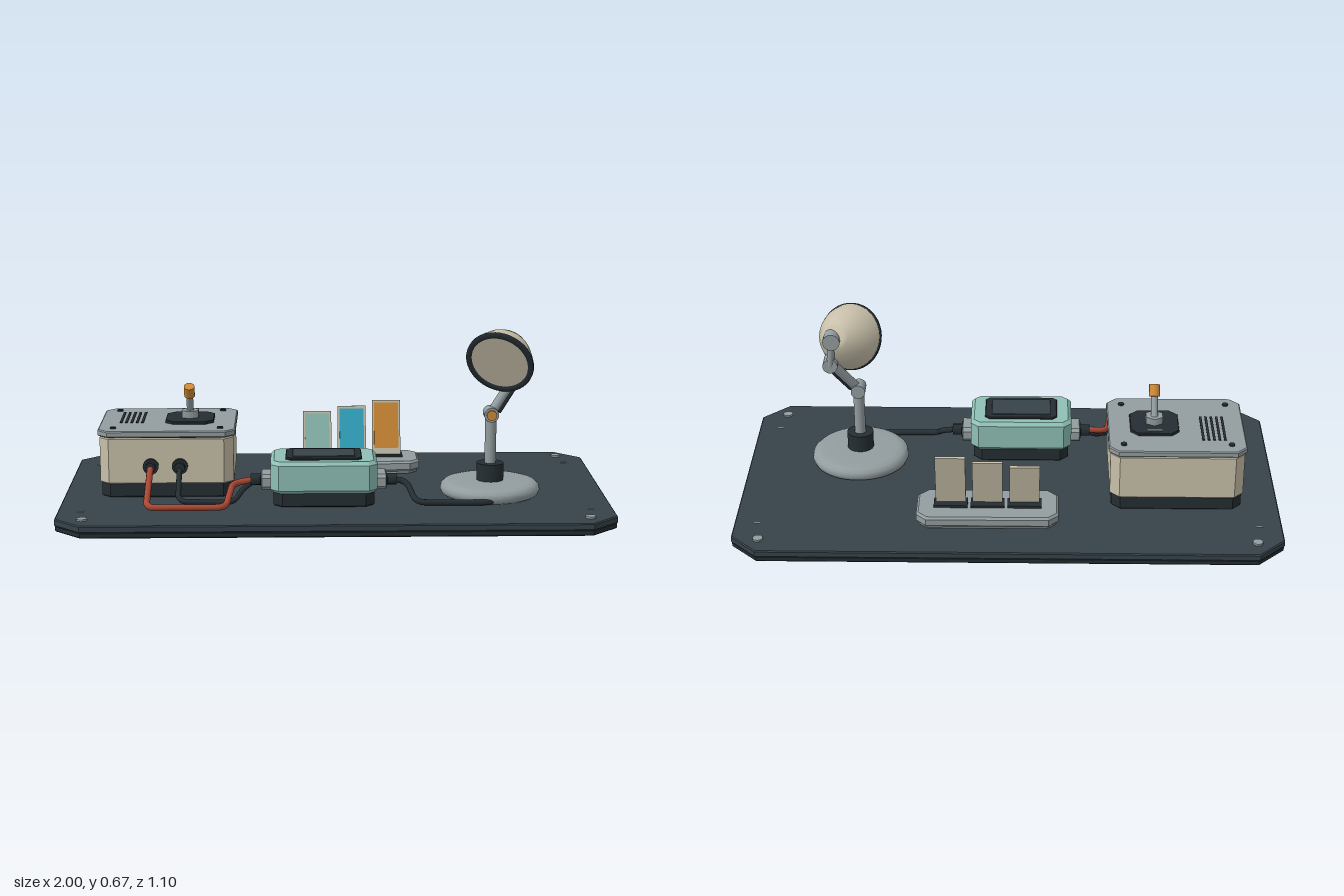
import * as THREE from 'three';

const mat = (name, color) => Object.assign(new THREE.MeshStandardMaterial({ color }), { name });
const M = {
  board: mat('slate', 0x36434a), dark: mat('charcoal', 0x252e33), grey: mat('metal grey', 0x939d9f),
  beige: mat('beige', 0xc8c0aa), teal: mat('pale teal', 0x8fc0b6), cyan: mat('cyan', 0x33abc8),
  orange: mat('orange', 0xcf8a36), red: mat('cable red', 0xaa4733),
};
const V = (x, y, z) => new THREE.Vector3(x, y, z);
const UP = V(0, 1, 0);

function add(parent, name, geo, material, x = 0, y = 0, z = 0) {
  const m = new THREE.Mesh(geo, material);
  m.name = name;
  m.position.set(x, y, z);
  parent.add(m);
  return m;
}

function group(parent, name, x = 0, y = 0, z = 0) {
  const g = new THREE.Group();
  g.name = name;
  g.position.set(x, y, z);
  parent.add(g);
  return g;
}

// Slab with clipped corners and bevelled edges, standing on y = 0
function slab(w, h, d, c, b = 0.004) {
  const x = w / 2 - b, z = d / 2 - b;
  const pts = [[x - c, -z], [x, c - z], [x, z - c], [x - c, z], [c - x, z], [-x, z - c], [-x, c - z], [c - x, -z]];
  const shape = new THREE.Shape(pts.map(p => new THREE.Vector2(...p)));
  return new THREE.ExtrudeGeometry(shape, {
    depth: h - 2 * b, bevelEnabled: b > 0, bevelSize: b, bevelThickness: b, bevelSegments: 1,
  }).translate(0, 0, b).rotateX(-Math.PI / 2);
}

const cyl = (r, h, n = 24) => new THREE.CylinderGeometry(r, r, h, n);

// Cylinder between two points
function rod(parent, name, a, b, r, material, n = 20) {
  const m = add(parent, name, cyl(r, a.distanceTo(b), n), material);
  m.position.copy(a).add(b).multiplyScalar(0.5);
  m.quaternion.setFromUnitVectors(UP, b.clone().sub(a).normalize());
  return m;
}

// Tube along straight runs with rounded corners
function cable(parent, name, pts, r, material) {
  const path = new THREE.CurvePath();
  let from = pts[0];
  for (let i = 1; i < pts.length - 1; i++) {
    const p = pts[i];
    const cut = q => p.clone().lerp(q, Math.min(0.45, 0.035 / p.distanceTo(q)));
    const a = cut(pts[i - 1]), b = cut(pts[i + 1]);
    path.add(new THREE.LineCurve3(from, a));
    path.add(new THREE.QuadraticBezierCurve3(a, p, b));
    from = b;
  }
  path.add(new THREE.LineCurve3(from, pts[pts.length - 1]));
  add(parent, name, new THREE.TubeGeometry(path, 90, r, 10), material);
}

function buildBoard(root) {
  const g = group(root, 'baseBoard');
  add(g, 'lowerPlate', slab(1.994, 0.022, 1.094, 0.095), M.dark);
  add(g, 'upperPlate', slab(2, 0.026, 1.1, 0.095), M.board, 0, 0.02);
  for (const x of [-1, 1]) for (const z of [-1, 1]) {
    add(g, 'cornerBolt', cyl(0.019, 0.008, 12), M.grey, x * 0.9, 0.049, z * 0.47);
    add(g, 'edgeMark', new THREE.BoxGeometry(0.022, 0.003, 0.006), M.grey, x * 0.917, 0.047, z * 0.36);
  }
}

function buildPowerBox(root) {
  const g = group(root, 'powerBox', -0.62, 0.046, -0.045);
  add(g, 'foot', slab(0.48, 0.056, 0.39, 0.03), M.dark);
  add(g, 'body', slab(0.492, 0.172, 0.402, 0.032), M.beige, 0, 0.052);
  add(g, 'lidSeam', slab(0.48, 0.01, 0.39, 0.03, 0.001), M.dark, 0, 0.221);
  add(g, 'lid', slab(0.506, 0.024, 0.416, 0.034), M.grey, 0, 0.227);
  for (const x of [-0.197, 0.197]) for (const z of [-0.155, 0.155])
    add(g, 'lidScrew', cyl(0.011, 0.008, 12), M.dark, x, 0.253, z);
  for (let i = 0; i < 5; i++)
    add(g, 'ventSlot', new THREE.BoxGeometry(0.009, 0.004, 0.18), M.dark, -0.176 + i * 0.02, 0.252, -0.03);
  for (const x of [-0.057, 0.05]) {
    add(g, 'socketRing', cyl(0.029, 0.018, 20).rotateX(Math.PI / 2), M.dark, x, 0.119, 0.205);
    add(g, 'socketPlug', cyl(0.019, 0.03, 16).rotateX(Math.PI / 2), M.dark, x, 0.119, 0.222);
  }

  // Toggle switch
  const s = group(g, 'toggleSwitch', 0.08, 0.25, 0);
  add(s, 'switchPlate', slab(0.18, 0.012, 0.18, 0.028, 0.002), M.dark);
  add(s, 'switchMark', new THREE.BoxGeometry(0.055, 0.003, 0.007), M.grey, 0, 0.0125, -0.068);
  add(s, 'switchNut', cyl(0.036, 0.028, 6), M.grey, 0, 0.025, 0.003);
  rod(s, 'lever', V(0, 0.03, -0.004), V(0, 0.108, 0.04), 0.013, M.grey, 14);
  rod(s, 'leverTip', V(0, 0.1, 0.036), V(0, 0.139, 0.058), 0.02, M.orange, 14);
}

function buildControlBox(root) {
  const g = group(root, 'controlBox', -0.043, 0.046, 0.215);
  add(g, 'foot', slab(0.365, 0.06, 0.215, 0.03), M.dark, 0, 0.004);
  add(g, 'body', slab(0.386, 0.118, 0.24, 0.022, 0.013), M.teal, 0, 0.054);
  add(g, 'screenFrame', slab(0.276, 0.01, 0.165, 0.014, 0.003), M.dark, 0, 0.17);
  add(g, 'screen', slab(0.226, 0.004, 0.12, 0.005, 0.001), M.board, 0, 0.179);
  for (const side of [-1, 1]) {
    const c = group(g, 'connector', side * 0.188, 0.082, 0);
    c.rotation.z = -side * Math.PI / 2;
    add(c, 'connectorBlock', slab(0.056, 0.04, 0.104, 0.01, 0.003), M.grey);
    add(c, 'connectorRecess', slab(0.036, 0.005, 0.076, 0.006, 0.001), M.dark, 0, 0.038);
    add(c, 'connectorGland', cyl(0.022, 0.04, 8), M.dark, 0, 0.058);
  }
}

function buildCardRack(root) {
  const g = group(root, 'cardRack', 0.075, 0.046, -0.29);
  add(g, 'rackFoot', slab(0.5, 0.014, 0.19, 0.03, 0.002), M.grey);
  add(g, 'rackBody', slab(0.52, 0.04, 0.208, 0.032, 0.008), M.grey, 0, 0.009);
  const cards = [[-0.135, 0.18, M.teal], [0, 0.2, M.cyan], [0.135, 0.222, M.orange]];
  for (const [x, h, colour] of cards) {
    add(g, 'cardSlot', new THREE.BoxGeometry(0.124, 0.012, 0.058), M.dark, x, 0.052, -0.003);
    const c = group(g, 'card', x, 0.046, 0.006);
    c.rotation.x = -0.2;
    add(c, 'cardBack', new THREE.BoxGeometry(0.11, h, 0.012), M.beige, 0, h / 2, 0);
    add(c, 'cardFace', new THREE.BoxGeometry(0.094, h - 0.045, 0.006), colour, 0, h / 2 + 0.0125, 0.008);
  }
}

function buildLamp(root) {
  const g = group(root, 'lamp');
  const baseProfile = [[0, 0], [0.165, 0], [0.179, 0.008], [0.185, 0.023], [0.181, 0.038], [0.168, 0.049],
    [0.145, 0.054], [0.08, 0.056], [0, 0.056]].map(p => new THREE.Vector2(...p));
  add(g, 'lampBase', new THREE.LatheGeometry(baseProfile, 48), M.grey, 0.575, 0.046, 0.12);
  add(g, 'collar', cyl(0.05, 0.068, 28), M.dark, 0.575, 0.132, 0.124);

  // Joints are short drums facing front
  const low = V(0.575, 0.35, 0.124), mid = V(0.67, 0.485, 0.073), top = V(0.66, 0.593, 0.047);
  rod(g, 'pole', V(0.575, 0.15, 0.124), low, 0.021, M.grey);
  for (const [name, p, r, len] of [['lowerJoint', low, 0.027, 0.062], ['upperJoint', mid, 0.028, 0.066], ['headJoint', top, 0.032, 0.052]])
    add(g, name, cyl(r, len).rotateX(Math.PI / 2), M.grey, p.x, p.y, p.z);
  add(g, 'jointKnob', cyl(0.019, 0.012, 16).rotateX(Math.PI / 2), M.orange, low.x, low.y, 0.159);
  rod(g, 'lowerArm', low, mid, 0.018, M.grey);
  const off = V(0.017, -0.01, 0);
  rod(g, 'armStrip', low.clone().lerp(mid, 0.12).add(off), low.clone().lerp(mid, 0.9).add(off), 0.01, M.dark, 10);
  rod(g, 'upperArm', V(0.67, 0.485, 0.052), V(0.66, 0.593, 0.045), 0.014, M.grey);

  // Shade opens along its local y axis
  const head = group(g, 'lampHead', 0.6, 0.55, 0.165);
  head.quaternion.setFromUnitVectors(UP, V(-0.44, -0.5, 1).normalize());
  const shade = [[0, -0.134], [0.035, -0.133], [0.052, -0.126], [0.078, -0.098], [0.1, -0.066], [0.116, -0.032],
    [0.124, -0.004]].map(p => new THREE.Vector2(...p));
  add(head, 'shade', new THREE.LatheGeometry(shade, 48), M.beige);
  const rim = [[0.122, -0.008], [0.127, -0.006], [0.127, 0.005], [0.107, 0.005], [0.107, -0.006]];
  add(head, 'shadeRim', new THREE.LatheGeometry(rim.map(p => new THREE.Vector2(...p)), 48), M.dark);
  add(head, 'lampDisc', cyl(0.11, 0.004, 40), M.beige, 0, -0.001, 0);
}

function buildCables(root) {
  cable(root, 'redCable', [V(-0.677, 0.165, 0.16), V(-0.677, 0.16, 0.2), V(-0.677, 0.075, 0.412),
    V(-0.395, 0.075, 0.412), V(-0.375, 0.118, 0.232), V(-0.3, 0.128, 0.218)], 0.012, M.red);
  cable(root, 'darkCable', [V(-0.57, 0.165, 0.16), V(-0.57, 0.155, 0.2), V(-0.57, 0.07, 0.308),
    V(-0.37, 0.065, 0.308), V(-0.335, 0.1, 0.23), V(-0.29, 0.125, 0.213)], 0.01, M.dark);
  cable(root, 'lampCable', [V(0.2, 0.128, 0.215), V(0.26, 0.12, 0.22), V(0.29, 0.062, 0.305),
    V(0.55, 0.06, 0.305), V(0.61, 0.062, 0.26)], 0.011, M.dark);
}

export function createModel() {
  const root = new THREE.Group();
  root.name = 'workbenchKit';
  for (const build of [buildBoard, buildPowerBox, buildControlBox, buildCardRack, buildLamp, buildCables]) build(root);
  return root;
}
